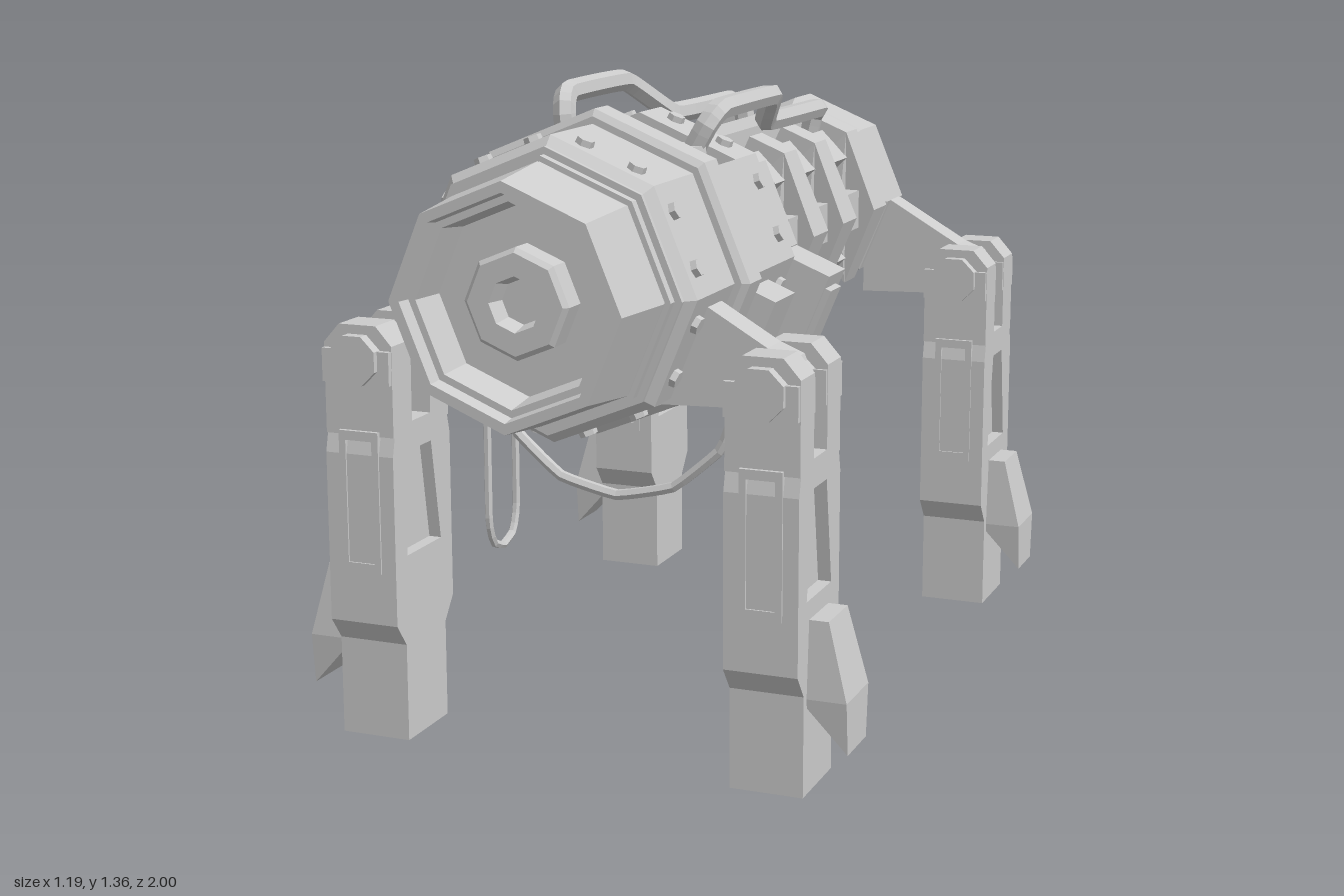
import * as THREE from 'three';

const AXIS = 0.99; // height of the body axis
const mat = new THREE.MeshStandardMaterial({ color: 0xcccccc, flatShading: true, side: THREE.DoubleSide });

function add(parent, name, geo, x = 0, y = 0, z = 0) {
  const m = new THREE.Mesh(geo, mat);
  m.name = name;
  m.position.set(x, y, z);
  parent.add(m);
  return m;
}

// Eight-sided turned part: profile of [radius, z], listed from back to front
function turned(parent, name, profile) {
  const geo = new THREE.LatheGeometry(profile.map(p => new THREE.Vector2(...p)), 8);
  return add(parent, name, geo.rotateX(Math.PI / 2), 0, AXIS, 0);
}

const shapeOf = pts => new THREE.Shape(pts.map(p => new THREE.Vector2(...p)));
const extrude = (shape, depth) =>
  new THREE.ExtrudeGeometry(shape, { depth, bevelEnabled: false }).translate(0, 0, -depth / 2);

// Point on an octagon of radius r; k counts corners from the bottom towards +x
function octPoint(r, k) {
  const c = i => new THREE.Vector2(r * Math.sin(i * Math.PI / 4), -r * Math.cos(i * Math.PI / 4));
  const i = Math.floor(k);
  return c(i).lerp(c(i + 1), k - i);
}

// Part of an octagonal shell between corners k0 and k1
function octArc(rOut, rIn, k0, k1, depth) {
  const ks = [k0];
  for (let k = Math.floor(k0) + 1; k < k1; k++) ks.push(k);
  ks.push(k1);
  const pts = [...ks.map(k => octPoint(rOut, k)), ...ks.reverse().map(k => octPoint(rIn, k))];
  return extrude(new THREE.Shape(pts), depth);
}

// Part seated on a body face, its y axis pointing outwards
function onFace(parent, name, geo, r, k, z) {
  const p = octPoint(r, k);
  const m = add(parent, name, geo, p.x, AXIS + p.y, z);
  m.rotation.z = (Math.floor(k) + 0.5) * Math.PI / 4 + Math.PI;
  return m;
}

function pipe(parent, name, pts, radius, segments = 36) {
  const curve = new THREE.CatmullRomCurve3(pts.map(p => new THREE.Vector3(...p)), false, 'catmullrom', 0.15);
  return add(parent, name, new THREE.TubeGeometry(curve, segments, radius, 6));
}

function makeBody() {
  const g = new THREE.Group();
  g.name = 'body';
  turned(g, 'rearCone', [[0, -0.9], [0.07, -0.9], [0.095, -1], [0.125, -1], [0.17, -0.77], [0, -0.77]]);
  turned(g, 'rearCollar', [[0, -0.78], [0.22, -0.78], [0.245, -0.765], [0.245, -0.65], [0.22, -0.61], [0, -0.61]]);
  turned(g, 'core', [[0, -0.62], [0.175, -0.62], [0.175, 0.02], [0, 0.02]]);
  turned(g, 'waist', [[0, 0], [0.22, 0], [0.22, 0.04], [0.255, 0.06], [0.255, 0.18], [0.29, 0.2],
    [0.305, 0.22], [0.305, 0.34], [0.25, 0.34], [0.25, 0.49], [0.3, 0.49], [0, 0.49]]);
  turned(g, 'rim', [[0, 0.495], [0.32, 0.495], [0.335, 0.505], [0.335, 0.57], [0.32, 0.58], [0, 0.58]]);
  turned(g, 'frontDrum', [[0, 0.57], [0.305, 0.57], [0.305, 0.78], [0.285, 0.8], [0.285, 0.81],
    [0.27, 0.81], [0.27, 0.83], [0.258, 0.83], [0.258, 0.85], [0, 0.85]]);
  turned(g, 'frontNozzle', [[0.26, 0.84], [0.242, 1], [0.22, 1], [0.215, 0.97], [0.2, 0.97], [0.19, 0.89], [0.11, 0.89],
    [0.11, 0.94], [0.1, 0.95], [0.055, 0.95], [0.045, 0.91], [0, 0.91]]);
  // Shell around the drum, leaving the upper groove open
  add(g, 'drumShell', octArc(0.305, 0.23, -3, 3, 0.152), 0, AXIS, 0.415);

  // Cage of rails and side ribs over the core
  for (let k = 0; k < 8; k++) {
    const p = octPoint(0.19, k);
    const rail = add(g, 'rail', new THREE.BoxGeometry(0.09, 0.055, 0.64), p.x, AXIS + p.y, -0.31);
    rail.rotation.z = k * Math.PI / 4;
  }
  for (const z of [-0.095, -0.305, -0.54]) {
    for (const side of [-1, 1]) {
      const geo = octArc(0.258, 0.17, 1, 3.45, 0.1);
      // narrow the ribs towards both ends
      const pos = geo.attributes.position;
      for (let i = 0; i < pos.count; i++) {
        if (Math.abs(pos.getY(i)) > 0.1) pos.setZ(i, pos.getZ(i) * 0.8);
      }
      const rib = add(g, 'rib', geo, 0, AXIS, z);
      if (side < 0) rib.rotation.y = Math.PI;
    }
  }

  // Bolts: two on each face in two rows
  for (let k = 0; k < 8; k++) {
    for (const f of [0.25, 0.75]) {
      for (const z of [0.27, 0.74]) {
        onFace(g, 'bolt', new THREE.CylinderGeometry(0.018, 0.02, 0.02, 6), 0.308, k + f, z);
      }
    }
  }

  // Blocks on the lower sides, thin plates above them
  for (const k of [1.5, 6.5]) {
    onFace(g, 'sideBlock', new THREE.BoxGeometry(0.17, 0.1, 0.12), 0.32, k, 0.41);
    onFace(g, 'waistBlock', new THREE.BoxGeometry(0.19, 0.14, 0.11), 0.31, k, 0.115);
    onFace(g, 'waistBlockCap', new THREE.BoxGeometry(0.13, 0.02, 0.07), 0.39, k, 0.125);
  }
  for (const k of [2.5, 5.5]) {
    onFace(g, 'sidePlate', new THREE.BoxGeometry(0.12, 0.02, 0.12), 0.307, k, 0.415);
  }
  return g;
}

function makePipes() {
  const g = new THREE.Group();
  g.name = 'pipes';
  // Two bent pipes along the top
  pipe(g, 'topPipe', [[-0.13, 1.2, 0.41], [-0.14, 1.3, 0.41], [-0.15, 1.335, 0.37], [-0.145, 1.335, 0.08],
    [-0.095, 1.25, -0.08], [-0.09, 1.245, -0.44], [-0.07, 1.225, -0.47], [-0.06, 1.15, -0.475]], 0.024, 60);
  pipe(g, 'topPipe', [[0.13, 1.2, 0.4], [0.175, 1.28, 0.4], [0.19, 1.312, 0.36], [0.19, 1.312, 0.05],
    [0.13, 1.24, -0.08], [0.13, 1.235, -0.44], [0.11, 1.215, -0.47], [0.09, 1.14, -0.475]], 0.024, 60);
  for (const x of [-0.13, 0.13]) {
    add(g, 'pipeSocket', new THREE.CylinderGeometry(0.045, 0.05, 0.06, 8), x, 1.21, 0.405);
  }
  // Hoses hanging underneath
  pipe(g, 'crossHose', [[-0.27, 0.82, 0.47], [-0.27, 0.72, 0.47], [-0.235, 0.62, 0.47], [-0.13, 0.53, 0.47], [0, 0.5, 0.47],
    [0.13, 0.53, 0.47], [0.235, 0.62, 0.47], [0.27, 0.72, 0.47], [0.27, 0.82, 0.47]], 0.012);
  pipe(g, 'sideLoop', [[-0.3, 0.86, 0.475], [-0.3, 0.42, 0.475], [-0.3, 0.36, 0.455], [-0.3, 0.342, 0.41],
    [-0.3, 0.36, 0.36], [-0.3, 0.42, 0.34], [-0.3, 0.86, 0.34]], 0.009, 48);
  pipe(g, 'rearLoop', [[0.07, 0.82, -0.13], [0.07, 0.73, -0.15], [0.07, 0.65, -0.2], [0.07, 0.6, -0.3],
    [0.07, 0.63, -0.41], [0.07, 0.7, -0.46], [0.07, 0.82, -0.48]], 0.011);
  add(g, 'hangingHose', new THREE.CylinderGeometry(0.009, 0.009, 0.37, 6), 0.3, 0.675, 0.47);
  add(g, 'hangingHose', new THREE.CylinderGeometry(0.009, 0.009, 0.32, 6), -0.235, 0.7, -0.46);
  return g;
}

// One leg, with its outer side towards +x
function makeLeg() {
  const g = new THREE.Group();
  const W = 0.155;
  // Main column with a tapered side window
  const column = shapeOf([[-0.0875, 0], [0.0875, 0], [0.0875, 0.21], [0.125, 0.26], [0.125, 0.62], [0.11, 0.68],
    [-0.11, 0.68], [-0.125, 0.62], [-0.125, 0.26], [-0.0875, 0.21]]);
  column.holes.push(shapeOf([[-0.075, 0.4], [-0.04, 0.62], [0.04, 0.62], [0.075, 0.4]]));
  add(g, 'column', extrude(column, W).rotateY(Math.PI / 2));
  add(g, 'windowPanel', new THREE.BoxGeometry(0.1, 0.25, 0.17), 0, 0.51, 0);

  const fork = shapeOf([[-W / 2, 0.66], [W / 2, 0.66], [W / 2, 0.85], [0.042, 0.89], [-0.042, 0.89], [-W / 2, 0.85]]);
  const frame = shapeOf([[-0.045, 0.37], [0.045, 0.37], [0.045, 0.67], [-0.045, 0.67]]);
  frame.holes.push(shapeOf([[-0.03, 0.39], [-0.03, 0.65], [0.03, 0.65], [0.03, 0.39]]));
  for (const s of [-1, 1]) {
    add(g, 'fork', extrude(fork, 0.08), 0, 0, s * 0.08);
    add(g, 'forkLug', new THREE.BoxGeometry(W - 0.002, 0.07, 0.1), 0, 0.805, s * 0.082);
    add(g, 'panelFrame', extrude(frame, 0.014), 0, 0, s * 0.122);
  }
  const pin = new THREE.CylinderGeometry(0.055, 0.055, 0.29, 8).rotateY(Math.PI / 8).rotateX(Math.PI / 2);
  add(g, 'pivotPin', pin, 0, 0.82, 0);

  // Outer fin on the foot, widest at mid height
  const fin = extrude(shapeOf([[0.06, 0.2], [0.16, 0.09], [0.16, 0.2], [0.118, 0.36], [0.06, 0.36]]), 0.14);
  const pos = fin.attributes.position;
  for (let i = 0; i < pos.count; i++) {
    if (Math.abs(pos.getY(i) - 0.2) > 0.05) pos.setZ(i, pos.getZ(i) * 0.84);
  }
  fin.computeVertexNormals();
  add(g, 'footFin', fin);

  // Arm reaching in to the body
  add(g, 'arm', extrude(shapeOf([[-0.26, 0.76], [0.03, 0.77], [0.05, 0.82], [0.03, 0.87], [-0.02, 0.89], [-0.14, 0.96],
    [-0.26, 1.03]]), 0.075));
  return g;
}

export function createModel() {
  const model = new THREE.Group();
  model.name = 'walker';
  model.add(makeBody(), makePipes());
  for (const [end, z] of [['front', 0.66], ['rear', -0.705]]) {
    for (const side of [-1, 1]) {
      const leg = makeLeg();
      leg.name = end + (side > 0 ? 'LeftLeg' : 'RightLeg');
      leg.position.set(side * 0.4375, 0, z);
      if (side < 0) leg.rotation.y = Math.PI;
      model.add(leg);
    }
  }
  return model;
}
